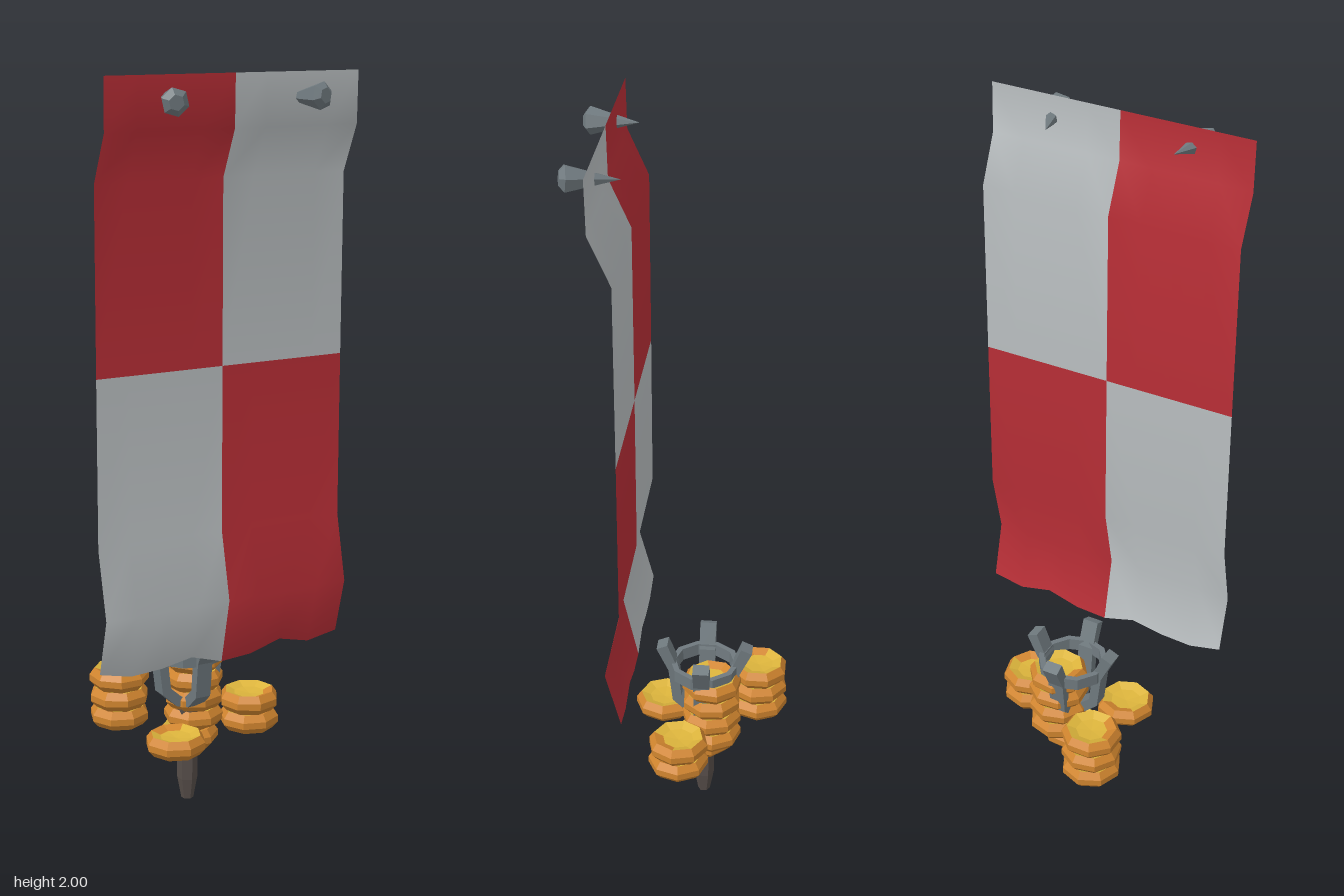
import * as THREE from 'three';

const mat = (name, color, side = THREE.FrontSide) => {
  const m = new THREE.MeshStandardMaterial({ color, side, flatShading: true });
  m.name = name;
  return m;
};

export function createModel() {
  const root = new THREE.Group();
  root.name = 'wallBannerWithHolder';

  const red = mat('red cloth', 0xb82e36, THREE.DoubleSide);
  const pale = mat('pale grey cloth', 0xb9bec0, THREE.DoubleSide);
  red.flatShading = pale.flatShading = false;
  const steel = mat('steel', 0x6f797e);
  const wood = mat('dark wood', 0x574e4a);
  const orange = mat('orange', 0xd2862f);
  const yellow = mat('yellow', 0xdcb43c);

  const add = (parent, name, geo, material) => {
    const m = new THREE.Mesh(geo, material);
    m.name = name;
    parent.add(m);
    return m;
  };
  const group = (parent, name, x, y, z) => {
    const g = new THREE.Group();
    g.name = name;
    g.position.set(x, y, z);
    parent.add(g);
    return g;
  };
  const lathe = (pts, sides, start = 0, length = Math.PI * 2) =>
    new THREE.LatheGeometry(pts.map(([r, y]) => new THREE.Vector2(r, y)), sides, start, length);

  // Cloth: four panels that follow one wavy profile of [y, z] rows
  const upper = [[2, 0.19], [1.865, 0.187], [1.74, 0.131], [1.26, 0.13]];
  const lower = [[1.26, 0.13], [0.82, 0.13], [0.64, 0.17], [0.48, 0.13]];
  const hem = [0.487, 0.466, 0.471, 0.487, 0.46, 0.466, 0.492, 0.471, 0.487];
  const half = 0.362;
  const panel = (name, side, rows, material) => {
    const geo = new THREE.PlaneGeometry(half, 1, 4, rows.length - 1);
    const p = geo.attributes.position;
    for (let i = 0; i < p.count; i++) {
      const col = i % 5, row = Math.floor(i / 5);
      let [y, z] = rows[row];
      if (rows === lower && row === rows.length - 1) y = hem[col + (side > 0 ? 4 : 0)];
      p.setXYZ(i, (col / 4) * half + (side > 0 ? 0 : -half), y, z);
    }
    geo.computeVertexNormals();
    add(root, name, geo, material);
  };
  panel('clothUpperRight', -1, upper, red);
  panel('clothUpperLeft', 1, upper, pale);
  panel('clothLowerRight', -1, lower, pale);
  panel('clothLowerLeft', 1, lower, red);

  // Nails: six-sided spikes with a bevelled head, leaning towards the middle
  for (const [s, headY, tipY] of [[-1, 1.937, 1.948], [1, 1.943, 1.933]]) {
    const tip = new THREE.Vector3(s * 0.176, tipY, 0.13);
    const dir = new THREE.Vector3(s * 0.211, headY, 0.272).sub(tip);
    const len = dir.length();
    const nail = add(root, 'nail', lathe([[0, 0], [0.036, len * 0.91], [0.02, len], [0, len]], 6), steel);
    nail.position.copy(tip);
    nail.quaternion.setFromUnitVectors(new THREE.Vector3(0, 1, 0), dir.normalize());
  }

  // Holder: tapered handle, ring and four bent prongs
  const holder = group(root, 'holder', 0, 0, -0.057);
  add(holder, 'handle', lathe([[0, 0], [0.017, 0], [0.028, 0.06], [0.03, 0.17], [0.03, 0.28], [0, 0.28]], 6), wood);
  add(holder, 'ring', lathe([[0.08, 0.415], [0.098, 0.415], [0.098, 0.45], [0.082, 0.45], [0.08, 0.415]], 10), steel);

  const prongShape = new THREE.Shape([
    [0.0, 0.275], [0.045, 0.285], [0.088, 0.325], [0.1, 0.425], [0.133, 0.495],
    [0.103, 0.508], [0.074, 0.435], [0.063, 0.34], [0.03, 0.31], [0.0, 0.3],
  ].map(([x, y]) => new THREE.Vector2(x, y)));
  const prongGeo = new THREE.ExtrudeGeometry(prongShape, { depth: 0.045, bevelEnabled: false });
  prongGeo.translate(0, 0, -0.0225);
  for (let i = 0; i < 4; i++) add(holder, 'prong', prongGeo, steel).rotation.y = (i * Math.PI) / 2;

  // Discs: eight-sided, bulging orange sides and a dished yellow top with an orange patch
  const q = Math.PI / 2;
  const sideGeo = lathe([[0, 0], [0.067, 0], [0.083, 0.018], [0.083, 0.036], [0.069, 0.055]], 8);
  const rim = [[0.069, 0.055], [0.043, 0.045]];
  const rimGeo = lathe(rim, 6, q, 3 * q);
  const patchGeo = lathe(rim, 2, 0, q);
  const dishGeo = lathe([[0.043, 0.045], [0, 0.041]], 8);
  const stack = (name, x, y, z, count, degrees) => {
    const g = group(root, name, x, y, z);
    for (let i = 0; i < count; i++) {
      const disc = group(g, 'disc', 0, i * 0.055, 0);
      disc.rotation.y = THREE.MathUtils.degToRad(degrees + (count - 1 - i) * 12);
      add(disc, 'discSide', sideGeo, orange);
      add(disc, 'discRim', rimGeo, yellow);
      add(disc, 'discPatch', patchGeo, orange);
      add(disc, 'discDish', dishGeo, yellow);
    }
  };
  stack('rearStack', -0.137, 0.2, -0.2, 3, -112.5);
  stack('sideStack', 0.165, 0.2, 0, 2, -8);
  stack('frontDisc', -0.105, 0.2, 0.067, 1, 135);
  stack('middleStack', 0.033, 0.208, -0.08, 4, -165);
  stack('baseDisc', 0.003, 0.163, -0.057, 1, 20);

  return root;
}
